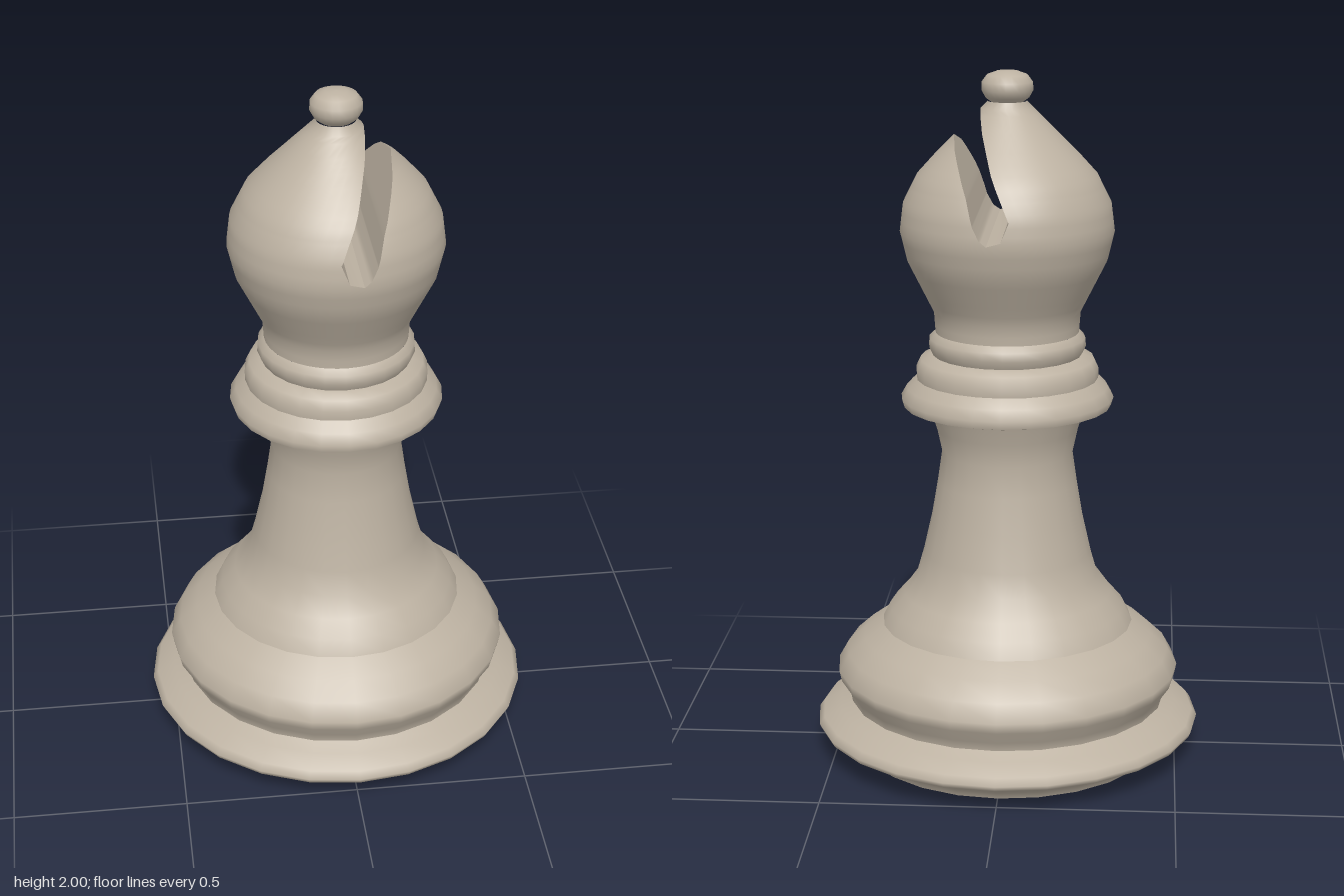
import * as THREE from 'three';

const SIDES = 24;
const stone = new THREE.MeshStandardMaterial({ color: 0xbdb2a2 });
stone.name = 'warm grey stone';

// Turned parts as [radius, height]; a new part starts at each hard edge
const TURNED = {
  underside: [[0, 0], [0.44, 0]],
  foot: [[0.44, 0], [0.45, 0.02], [0.475, 0.04], [0.558, 0.075], [0.565, 0.09], [0.55, 0.11], [0.5, 0.135], [0.465, 0.155]],
  baseSwell: [[0.465, 0.155], [0.47, 0.18], [0.497, 0.22], [0.503, 0.25], [0.475, 0.3], [0.425, 0.345], [0.368, 0.385]],
  baseShoulder: [[0.368, 0.385], [0.345, 0.43], [0.305, 0.475], [0.265, 0.53], [0.245, 0.6], [0.22, 0.71], [0.203, 0.81],
    [0.19, 0.9], [0.205, 0.97], [0.222, 1.025]],
  collarUnderside: [[0.2, 1.025], [0.24, 1.025], [0.3, 1.042]],
  collar: [[0.3, 1.042], [0.307, 1.065], [0.29, 1.095], [0.262, 1.122]],
  upperCollar: [[0.262, 1.122], [0.263, 1.15], [0.25, 1.178], [0.215, 1.192]],
  neckRing: [[0.215, 1.192], [0.226, 1.215], [0.224, 1.24], [0.206, 1.257]],
  knob: [[0.045, 1.912], [0.062, 1.925], [0.073, 1.945], [0.072, 1.968], [0.057, 1.988], [0.03, 1.998], [0, 2]],
};

// Head outline and both sides of the slanted slot as [x, height]
const HEAD = [[0.206, 1.257], [0.21, 1.315], [0.25, 1.395], [0.285, 1.465], [0.305, 1.55], [0.295, 1.63], [0.255, 1.71],
  [0.205, 1.765], [0.15, 1.82], [0.075, 1.895], [0.055, 1.915]];
const SLOT_LEFT = [[0.04, 1.555], [0, 1.566], [-0.022, 1.62], [0.03, 1.735], [0.062, 1.835], [0.075, 1.895]];
const SLOT_RIGHT = [[0.04, 1.555], [0.06, 1.57], [0.078, 1.605], [0.098, 1.68], [0.15, 1.82]];
const SLOT_FLOOR = 1.555;

// Value of a polyline at height y, held constant past its ends
function at(points, y) {
  if (y <= points[0][1]) return points[0][0];
  for (let i = 1; i < points.length; i++) {
    const [x0, y0] = points[i - 1], [x1, y1] = points[i];
    if (y <= y1) return x0 + (x1 - x0) * (y - y0) / (y1 - y0);
  }
  return points[points.length - 1][0];
}

// Grid surface through equal rows of points, with optional normals
function loft(rows, normals) {
  const n = rows[0].length, index = [];
  for (let i = 0; i < rows.length - 1; i++) {
    for (let j = 0; j < n - 1; j++) {
      const a = i * n + j, b = a + n;
      index.push(a, b, a + 1, b, b + 1, a + 1);
    }
  }
  const g = new THREE.BufferGeometry();
  g.setAttribute('position', new THREE.Float32BufferAttribute(rows.flat(2), 3));
  g.setIndex(index);
  if (normals) {
    g.setAttribute('normal', new THREE.Float32BufferAttribute(normals.flat(2), 3));
    g.normalizeNormals();
  } else g.computeVertexNormals();
  return g;
}

// One side of the head: round outer skin plus the flat slot wall
function headSide(group, name, slot, isRight) {
  const top = isRight ? 1.82 : 1.915;
  const levels = [...HEAD, ...SLOT_LEFT, ...SLOT_RIGHT].map((p) => p[1]);
  for (let y = 1.28; y < 1.9; y += 0.03) levels.push(y);
  const ys = [...new Set(levels)].filter((y) => y <= top).sort((a, b) => a - b);
  const skin = [], normals = [], wall = [];
  for (const y of ys) {
    const r = at(HEAD, y);
    const a = Math.acos(Math.min(1, at(slot, y) / r));
    const start = isRight ? -a : a, end = isRight ? a : 2 * Math.PI - a;
    const slope = (at(HEAD, y + 0.03) - at(HEAD, y - 0.03)) / 0.06;
    const row = [], rowNormals = [];
    for (let j = 0; j <= SIDES; j++) {
      const t = start + (end - start) * j / SIDES;
      row.push([r * Math.cos(t), y, r * Math.sin(t)]);
      rowNormals.push([Math.cos(t), -slope, Math.sin(t)]);
    }
    skin.push(row);
    normals.push(rowNormals);
    if (y >= SLOT_FLOOR) wall.push([row[SIDES], row[0]]);
  }
  add(group, name + 'Head', loft(skin, normals));
  add(group, name + 'SlotWall', loft(wall));
}

function add(group, name, geometry) {
  const mesh = new THREE.Mesh(geometry, stone);
  mesh.name = name;
  group.add(mesh);
}

export function createModel() {
  const model = new THREE.Group();
  model.name = 'bishopChessPiece';
  for (const [name, profile] of Object.entries(TURNED)) {
    add(model, name, new THREE.LatheGeometry(profile.map(([r, y]) => new THREE.Vector2(r, y)), SIDES));
  }
  const head = new THREE.Group();
  head.name = 'slottedHead';
  headSide(head, 'right', SLOT_LEFT, false);
  headSide(head, 'left', SLOT_RIGHT, true);
  model.add(head);
  return model;
}
